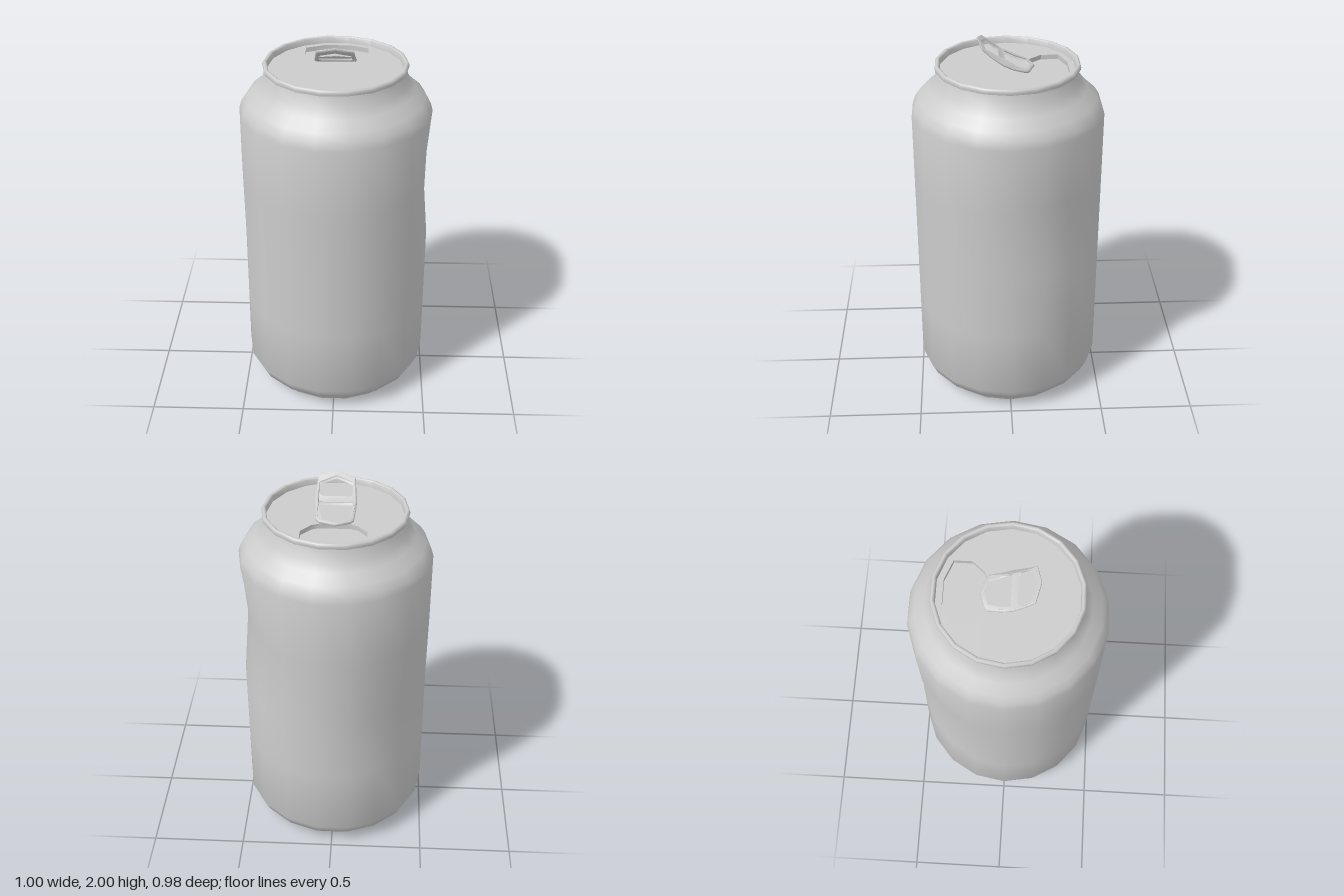
import * as THREE from 'three';
import { toCreasedNormals } from 'three/addons/utils/BufferGeometryUtils.js';

const SIDES = 18;
const metal = new THREE.MeshStandardMaterial({ color: 0xcccccc, side: THREE.DoubleSide });

function addMesh(group, name, geometry, crease) {
  const mesh = new THREE.Mesh(toCreasedNormals(geometry, crease), metal);
  mesh.name = name;
  group.add(mesh);
}

// Points are [x, z] as seen from above; the shape is later laid flat.
const flat = (points) => points.map(([x, z]) => new THREE.Vector2(x, -z));

// Mirror a half outline (x >= 0, back to front) into a closed one.
function mirrored(half) {
  const other = half.filter(([x]) => x > 0).map(([x, z]) => [-x, z]).reverse();
  return flat([...half, ...other]);
}

// Shallow dents: direction in degrees (0 = +x, 90 = +z), angular width, depth per height.
const dents = [
  { angle: -24, width: 55, depth: { 1.24: 0.052 } },
  { angle: -135, width: 55, depth: { 0.87: 0.042, 0.5: 0.02 } },
];

function dentBody(geometry) {
  const p = geometry.attributes.position;
  for (let i = 0; i < p.count; i++) {
    const x = p.getX(i), y = p.getY(i), z = p.getZ(i);
    const angle = THREE.MathUtils.radToDeg(Math.atan2(z, x));
    let push = 0;
    for (const d of dents) {
      const depth = d.depth[Number(y.toFixed(2))] || 0;
      const off = Math.abs(THREE.MathUtils.euclideanModulo(angle - d.angle + 180, 360) - 180);
      if (off < d.width) push += depth * (0.5 + 0.5 * Math.cos((Math.PI * off) / d.width));
    }
    const r = Math.hypot(x, z);
    if (push > 0) p.setXYZ(i, x * (1 - push / r), y, z * (1 - push / r));
  }
}

export function createModel() {
  const can = new THREE.Group();
  can.name = 'drinkCan';

  // Body: domed base, wall, shoulder, neck and rolled rim
  const profile = [
    [0, 0.11], [0.15, 0.1], [0.28, 0.07], [0.36, 0.03], [0.383, 0], [0.402, 0],
    [0.425, 0.045], [0.47, 0.07], [0.5, 0.13], [0.5, 0.5], [0.5, 0.87], [0.5, 1.24],
    [0.5, 1.61], [0.488, 1.65], [0.462, 1.69], [0.41, 1.735], [0.377, 1.777], [0.358, 1.84],
    [0.37, 1.842], [0.373, 1.855], [0.369, 1.867], [0.36, 1.871], [0.351, 1.866], [0.347, 1.83],
  ].map(([r, y]) => new THREE.Vector2(r, y));
  const body = new THREE.LatheGeometry(profile, SIDES, Math.PI / 2);
  dentBody(body);
  addMesh(can, 'body', body, 0.95);

  // Lid with a pressed-in mouth panel
  const ring = [];
  for (let i = 0; i < SIDES; i++) {
    const a = (i / SIDES) * Math.PI * 2;
    ring.push([0.349 * Math.cos(a), 0.349 * Math.sin(a)]);
  }
  const mouth = mirrored([
    [0.065, -0.31], [0.165, -0.27], [0.165, -0.18], [0.115, -0.12], [0.08, -0.105],
  ]);
  const lidShape = new THREE.Shape(flat(ring));
  lidShape.holes.push(new THREE.Path(mouth));
  const lid = new THREE.ExtrudeGeometry(lidShape, { depth: 0.025, bevelEnabled: false });
  lid.rotateX(-Math.PI / 2).translate(0, 1.81, 0);
  addMesh(can, 'lid', lid, 0.5);
  const panel = new THREE.ShapeGeometry(new THREE.Shape(mouth));
  panel.rotateX(-Math.PI / 2).translate(0, 1.81, 0);
  addMesh(can, 'mouthPanel', panel.toNonIndexed(), 0.5);

  // Pull tab: rounded plate with two openings, bent upward toward the front
  const bevel = 0.008;
  const tabShape = new THREE.Shape(mirrored([
    [0, -0.127], [0.076, -0.1], [0.087, -0.085], [0.093, -0.03], [0.098, 0.025],
    [0.092, 0.08], [0.087, 0.124], [0, 0.146],
  ]));
  tabShape.holes.push(
    new THREE.Path(mirrored([[0, -0.113], [0.063, -0.095], [0.078, -0.04], [0.085, 0.015]])),
    new THREE.Path(mirrored([[0.07, 0.045], [0.085, 0.058], [0.081, 0.108], [0, 0.133]])),
  );
  const tab = new THREE.ExtrudeGeometry(tabShape, {
    depth: 0.004, bevelThickness: 0.007, bevelSize: bevel, bevelSegments: 2,
  });
  tab.rotateX(-Math.PI / 2);
  const p = tab.attributes.position;
  for (let i = 0; i < p.count; i++) {
    const t = p.getZ(i) + 0.135;
    p.setY(i, p.getY(i) + 1.842 + 1.82 * t * t);
  }
  addMesh(can, 'pullTab', tab, 0.9);

  return can;
}
